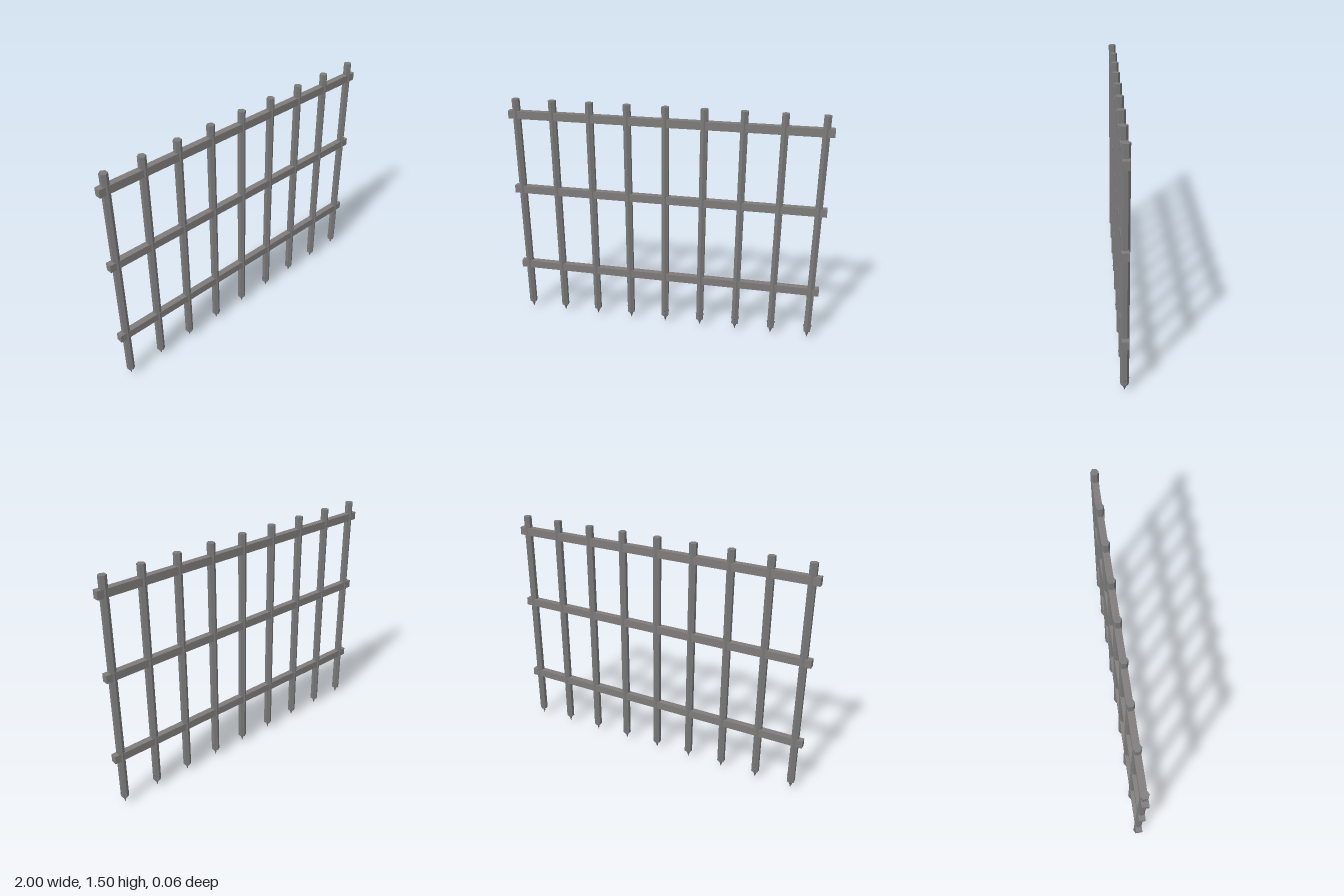
import * as THREE from 'three';

export function createModel() {
  const model = new THREE.Group();
  model.name = 'portcullis';

  const material = (name, color) => {
    const m = new THREE.MeshStandardMaterial({ color, flatShading: true });
    m.name = name;
    return m;
  };
  const barIron = material('bar iron', 0x7a7a7a);
  const railIron = material('rail iron', 0x7f7b7b);
  const spikeIron = material('spike iron', 0x747474);

  const add = (geometry, mat, name, x, y) => {
    const mesh = new THREE.Mesh(geometry, mat);
    mesh.name = name;
    mesh.position.set(x, y, 0);
    model.add(mesh);
  };

  // Hexagonal upright bars, each ending in a four-sided spike
  const bar = new THREE.CylinderGeometry(0.025, 0.025, 1.45, 6);
  const spike = new THREE.ConeGeometry(0.028, 0.09, 4).rotateX(Math.PI);
  for (let i = 0; i < 9; i++) {
    const x = -0.95 + i * 0.2375;
    add(bar, barIron, 'uprightBar', x, 0.772);
    add(spike, spikeIron, 'spike', x, 0.045);
  }

  // Horizontal rails running through the bars
  const rail = new THREE.BoxGeometry(2, 0.05, 0.04);
  for (const y of [0.347, 0.897, 1.397]) add(rail, railIron, 'crossRail', 0, y);

  return model;
}
